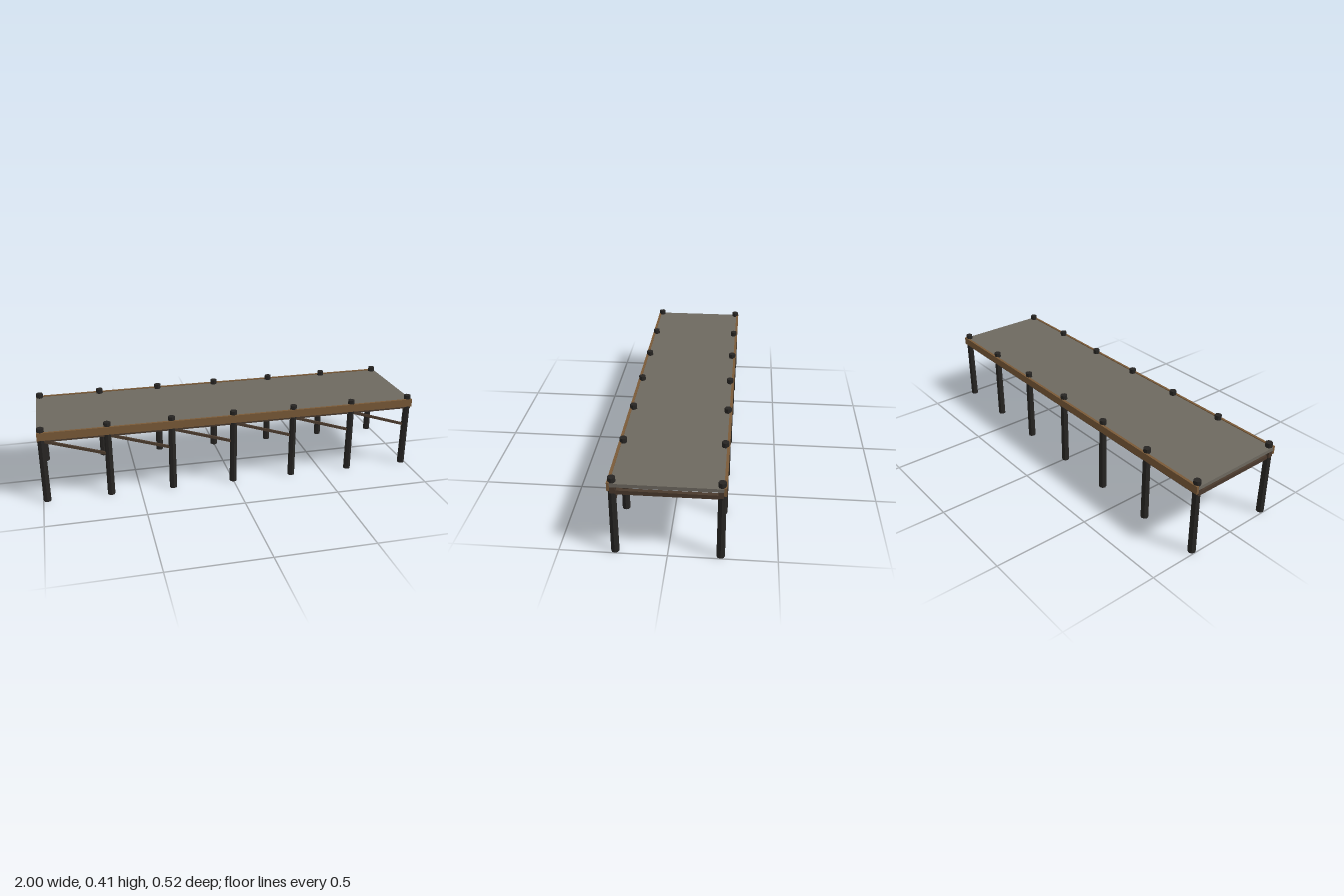
import * as THREE from 'three';

const SPAN = 0.3267; // distance between post pairs
const ROW_Z = 0.241; // post row offset from the centre line

const paint = (color) => new THREE.MeshStandardMaterial({ color, flatShading: true });

export function createModel() {
  const pier = new THREE.Group();
  pier.name = 'pier';
  const deckMat = paint(0x6e6960);
  const trimMat = paint(0x7a5a38);
  const beamMat = paint(0x4a3a2d);
  const postMat = paint(0x272523);

  const add = (name, geometry, material, x, y, z) => {
    const mesh = new THREE.Mesh(geometry, material);
    mesh.name = name;
    mesh.position.set(x, y, z);
    pier.add(mesh);
    return mesh;
  };

  // Deck slab
  add('deck', new THREE.BoxGeometry(2, 0.018, 0.5), deckMat, 0, 0.372, 0);

  // Edge boards and the stringers under the deck edges
  const edgeGeo = new THREE.BoxGeometry(2, 0.041, 0.013);
  const stringerGeo = new THREE.BoxGeometry(1.998, 0.034, 0.025);
  for (const side of [1, -1]) {
    add('edgeBoard', edgeGeo, trimMat, 0, 0.3645, side * 0.255);
    add('stringer', stringerGeo, beamMat, 0, 0.347, side * 0.2365);
  }

  // Slightly tapered posts in pairs, each pair joined by a cross beam
  const postGeo = new THREE.CylinderGeometry(0.018, 0.0195, 0.405, 8);
  const crossGeo = new THREE.BoxGeometry(0.02, 0.02, 2 * ROW_Z);
  for (let i = -3; i <= 3; i++) {
    const x = i * SPAN;
    for (const side of [1, -1]) add('post', postGeo, postMat, x, 0.2025, side * ROW_Z);
    add('crossBeam', crossGeo, beamMat, x, 0.33, 0);
  }

  // Diagonal braces along the front row only
  const drop = 0.105;
  const braceGeo = new THREE.BoxGeometry(Math.hypot(SPAN, drop), 0.013, 0.013);
  for (let i = -3; i < 3; i++) {
    const brace = add('brace', braceGeo, beamMat, (i + 0.5) * SPAN, 0.283, ROW_Z);
    brace.rotation.z = -Math.atan2(drop, SPAN);
  }

  return pier;
}
